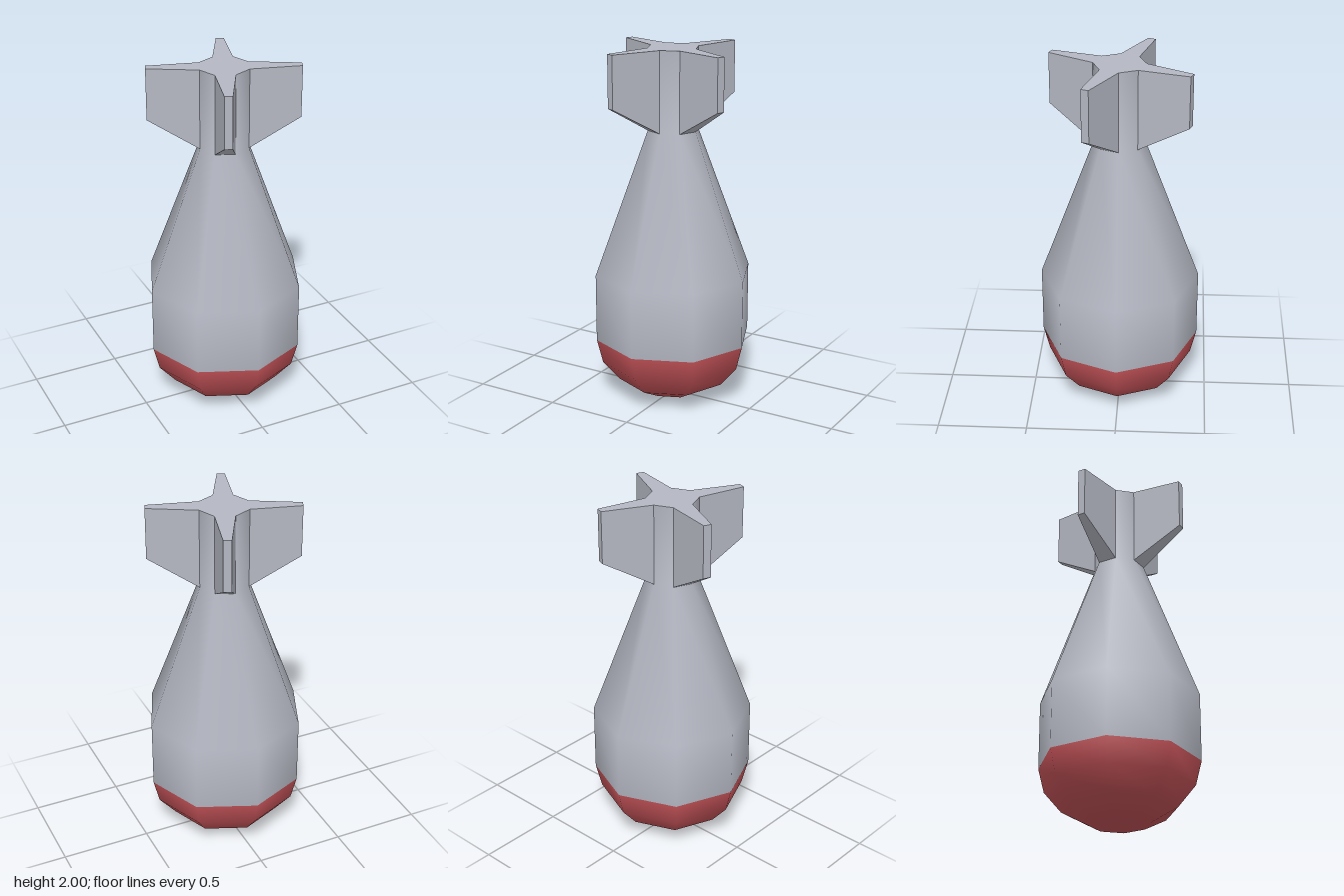
import * as THREE from 'three';

const SIDES = 8;
const NECK_R = 0.142, NECK_Y = 1.55, TOP_Y = 2;

export function createModel() {
  const grey = new THREE.MeshStandardMaterial({ color: 0xb4b7c2 });
  grey.name = 'grey metal';
  const red = new THREE.MeshStandardMaterial({ color: 0xbe5055 });
  red.name = 'red nose';

  const model = new THREE.Group();
  model.name = 'bomb';
  const add = (name, geometry, material) => {
    const mesh = new THREE.Mesh(geometry, material);
    mesh.name = name;
    model.add(mesh);
    return mesh;
  };

  // Body: rounded nose, straight barrel, tapered tail and neck, smooth around
  const R = 0.444, noseY = 0.355, noseSteps = 4;
  const profile = [];
  for (let i = 0; i <= noseSteps; i++) {
    const a = (i / noseSteps) * Math.PI / 2;
    profile.push(new THREE.Vector2(R * Math.sin(a), noseY * (1 - Math.cos(a))));
  }
  profile.push(
    new THREE.Vector2(R, 0.74),
    new THREE.Vector2(NECK_R, NECK_Y),
    new THREE.Vector2(NECK_R, TOP_Y)
  );
  const body = new THREE.LatheGeometry(profile, SIDES);
  // The nose tip points straight down
  for (let s = 0; s <= SIDES; s++) {
    body.attributes.normal.setXYZ(s * profile.length, 0, -1, 0);
  }
  // Red nose and grey shell share one smooth surface
  const perSide = (profile.length - 1) * 6, noseCount = noseSteps * 6;
  for (let s = 0; s < SIDES; s++) {
    body.addGroup(s * perSide, noseCount, 0);
    body.addGroup(s * perSide + noseCount, perSide - noseCount, 1);
  }
  add('body', body, [red, grey]);

  // Flat cap on the neck
  const cap = new THREE.CircleGeometry(NECK_R, SIDES);
  cap.rotateX(-Math.PI / 2).translate(0, TOP_Y, 0);
  add('neckCap', cap, grey);

  // Fins: wedges growing from every second face of the neck
  const half = Math.PI / SIDES;
  const fin = new THREE.BoxGeometry(1, 1, 1);
  const p = fin.attributes.position;
  for (let i = 0; i < p.count; i++) {
    const outer = p.getX(i) > 0;
    const x = outer ? 0.411 : NECK_R * Math.cos(half);
    const halfWidth = outer ? 0.022 : NECK_R * Math.sin(half);
    const y = p.getY(i) > 0 ? TOP_Y : outer ? 1.71 : NECK_Y;
    p.setXYZ(i, x, y, Math.sign(p.getZ(i)) * halfWidth);
  }
  fin.computeVertexNormals();
  for (let i = 0; i < 4; i++) {
    add('fin' + (i + 1), fin, grey).rotation.y = -half + i * Math.PI / 2;
  }

  return model;
}
